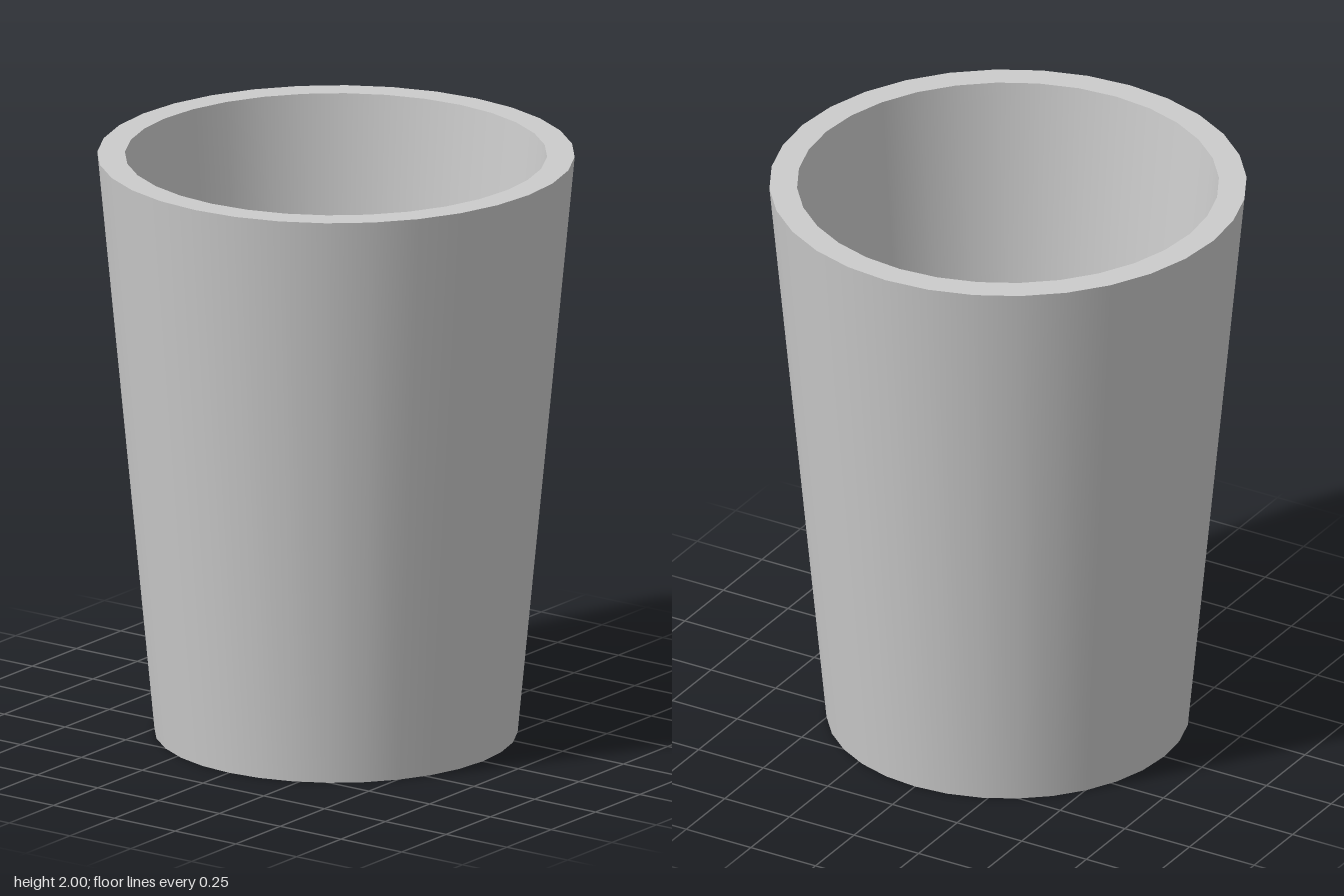
import * as THREE from 'three';

const SEGMENTS = 32;

export function createModel() {
  const group = new THREE.Group();
  group.name = 'cup';
  const material = new THREE.MeshStandardMaterial({ color: 0xcccccc });

  // Closed wall profile (radius, height), from the base centre round to the floor centre
  const profile = [
    [0, 0], [0.604, 0], [0.794, 2], [0.702, 2], [0.511, 0.093], [0, 0.093],
  ].map(([r, y]) => new THREE.Vector2(r, y));

  // One lathe per band: smooth around the axis, sharp edges between bands
  ['base', 'outerWall', 'rim', 'innerWall', 'floor'].forEach((name, i) => {
    const geometry = new THREE.LatheGeometry([profile[i], profile[i + 1]], SEGMENTS);
    const mesh = new THREE.Mesh(geometry, material);
    mesh.name = name;
    group.add(mesh);
  });

  return group;
}
